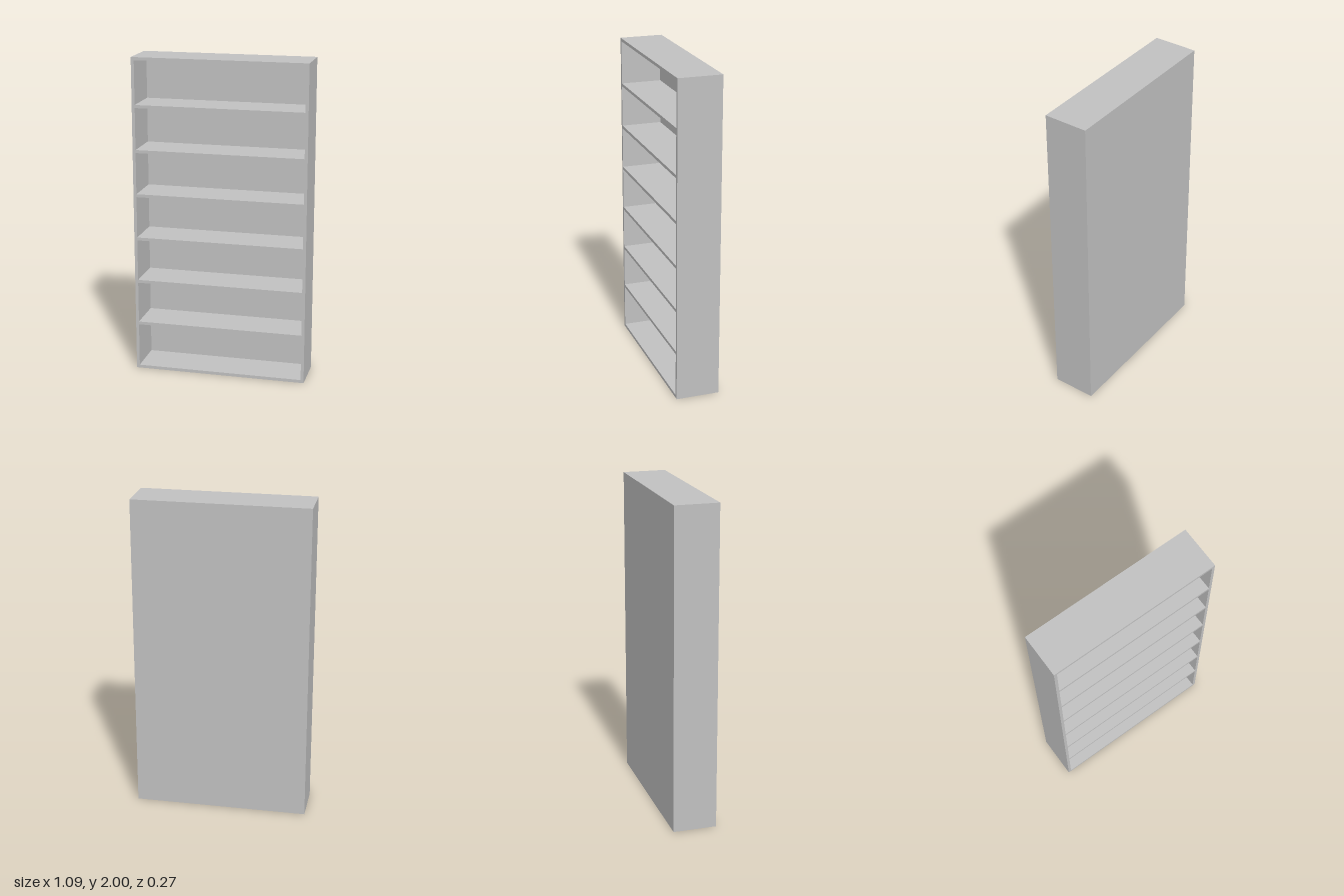
import * as THREE from 'three';

const W = 1.086, H = 2, D = 0.271; // overall size
const T = 0.019;                   // board thickness
const BACK = 0.015;                // back panel thickness
const SHELVES = 6, FIRST = 0.305, PITCH = 0.279;

export function createModel() {
  const group = new THREE.Group();
  group.name = 'bookcase';
  const grey = new THREE.MeshStandardMaterial({ color: 0xc0c0c0 });
  grey.name = 'light grey';

  function board(name, w, h, d, x, y, z) {
    const mesh = new THREE.Mesh(new THREE.BoxGeometry(w, h, d), grey);
    mesh.name = name;
    mesh.position.set(x, y, z);
    group.add(mesh);
  }

  const innerW = W - 2 * T;
  const innerD = D - BACK;

  // Side panels
  for (const s of [1, -1]) {
    board(s > 0 ? 'leftSide' : 'rightSide', T, H, D, s * (W - T) / 2, H / 2, 0);
  }

  // Top and bottom boards between the sides
  board('bottomBoard', innerW, T, D, 0, T / 2, 0);
  board('topBoard', innerW, T, D, 0, H - T / 2, 0);

  // Back panel, flush with the rear edges
  board('backPanel', innerW, H - 2 * T, BACK, 0, H / 2, (BACK - D) / 2);

  // Evenly spaced shelves, flush with the front
  for (let i = 0; i < SHELVES; i++) {
    board(`shelf${i + 1}`, innerW, T, innerD, 0, FIRST + i * PITCH, BACK / 2);
  }

  return group;
}
